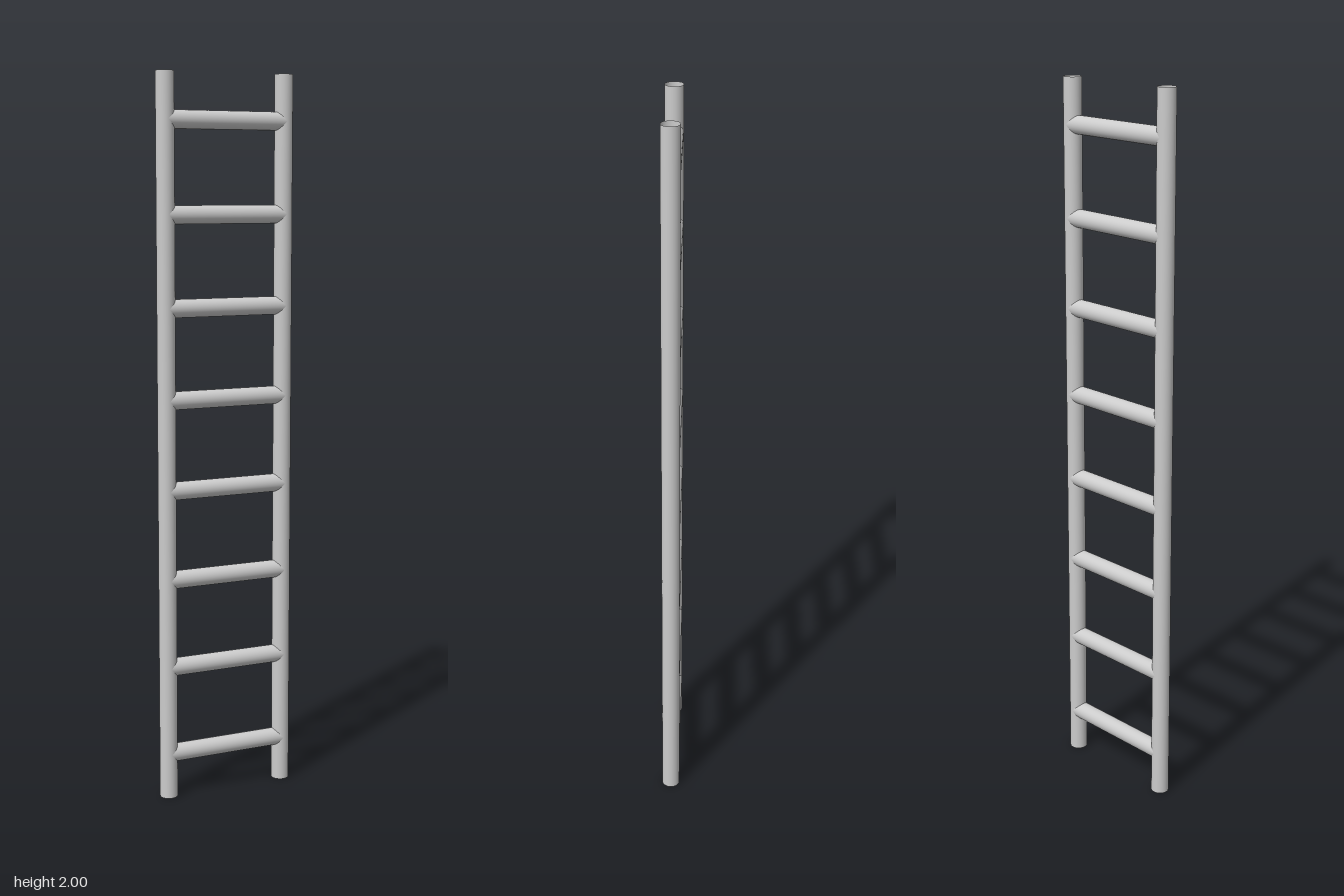
import * as THREE from 'three';

const RADIUS = 0.025, RAIL_X = 0.175, HEIGHT = 2, RUNGS = 8, SIDES = 32;

// Open tube lying along x, its ends scooped out to hug the round rails
function rungGeometry() {
  const geo = new THREE.CylinderGeometry(RADIUS, RADIUS, 2 * RAIL_X, SIDES, 1, true);
  geo.rotateZ(Math.PI / 2);
  const pos = geo.attributes.position;
  for (let i = 0; i < pos.count; i++) {
    const z = pos.getZ(i);
    const scoop = Math.sqrt(Math.max(0, RADIUS * RADIUS - z * z));
    pos.setX(i, Math.sign(pos.getX(i)) * (RAIL_X - scoop));
  }
  return geo;
}

export function createModel() {
  const ladder = new THREE.Group();
  ladder.name = 'ladder';
  const material = new THREE.MeshStandardMaterial({ color: 0xcccccc, side: THREE.DoubleSide });

  // Side rails: hollow tubes with open ends
  const railGeo = new THREE.CylinderGeometry(RADIUS, RADIUS, HEIGHT, SIDES, 1, true);
  for (const [name, side] of [['leftRail', 1], ['rightRail', -1]]) {
    const rail = new THREE.Mesh(railGeo, material);
    rail.name = name;
    rail.position.set(side * RAIL_X, HEIGHT / 2, 0);
    ladder.add(rail);
  }

  // Evenly spaced rungs
  const rungGeo = rungGeometry();
  const spacing = HEIGHT / RUNGS;
  for (let i = 0; i < RUNGS; i++) {
    const rung = new THREE.Mesh(rungGeo, material);
    rung.name = `rung${i + 1}`;
    rung.position.y = spacing * (i + 0.5);
    ladder.add(rung);
  }
  return ladder;
}
